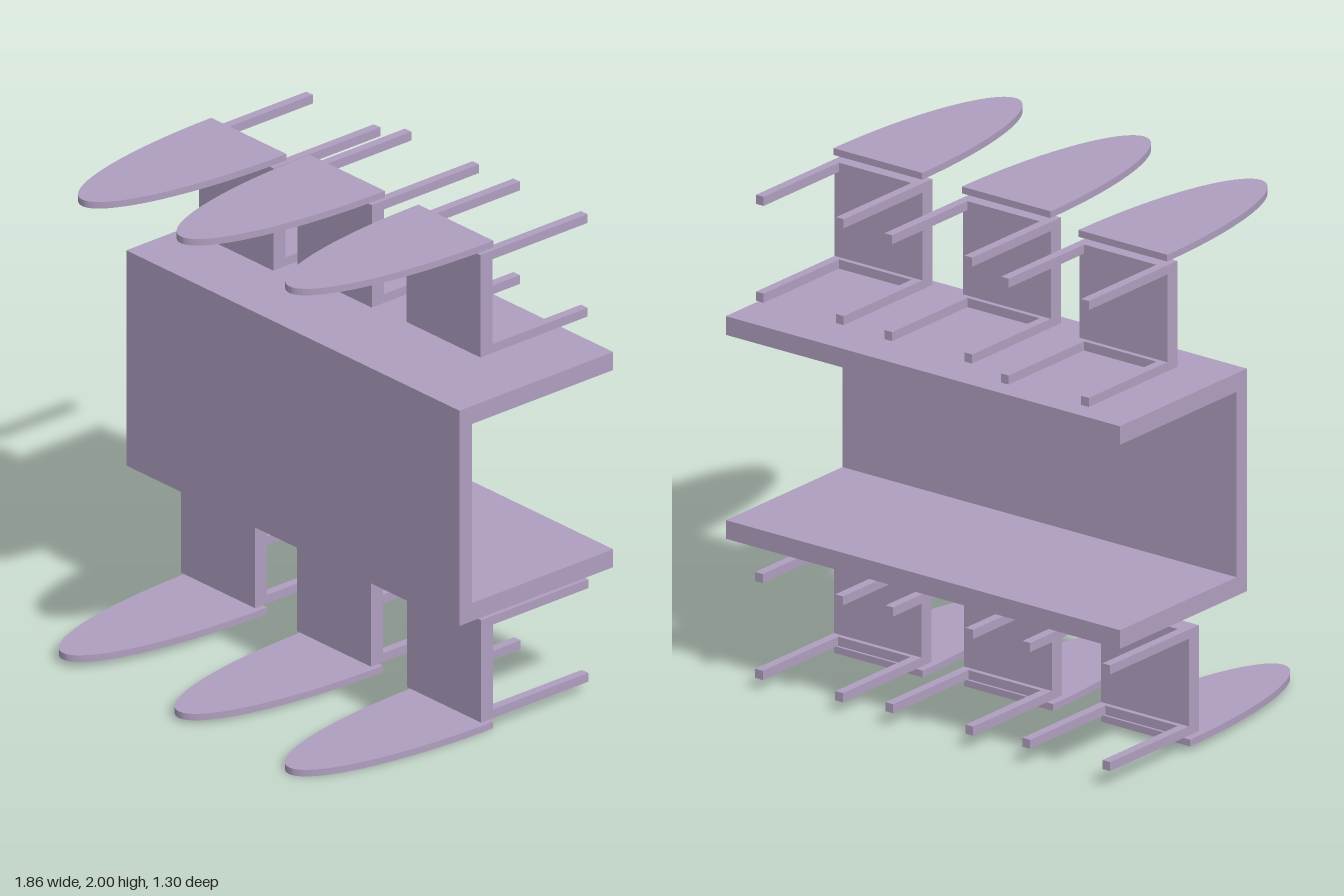
import * as THREE from 'three';
import { toCreasedNormals } from 'three/addons/utils/BufferGeometryUtils.js';

const material = new THREE.MeshStandardMaterial({ color: 0xb09fc0 });

// Box given by its lower and upper limits on each axis
function box(name, [x0, x1], [y0, y1], [z0, z1]) {
  const mesh = new THREE.Mesh(new THREE.BoxGeometry(x1 - x0, y1 - y0, z1 - z0), material);
  mesh.position.set((x0 + x1) / 2, (y0 + y1) / 2, (z0 + z1) / 2);
  mesh.name = name;
  return mesh;
}

const FLOOR = -0.648;      // feet of table and chairs; the furniture stands along z
const SEAT_BOTTOM = -0.176;
const HALF_W = 0.2065, HALF_D = 0.21, LEG = 0.036;

// Half-ellipse back panel, standing on its straight edge
function backrestGeometry() {
  const shape = new THREE.Shape();
  shape.absellipse(0, 0, 0.209, 0.827, 0, Math.PI, false);
  shape.closePath();
  const geometry = new THREE.ExtrudeGeometry(shape, { depth: 0.027, bevelEnabled: false, curveSegments: 48 });
  geometry.rotateX(Math.PI / 2);
  return toCreasedNormals(geometry, 0.6);
}

// Chair centred on its seat, backrest on the +y side
function makeChair(backGeometry) {
  const chair = new THREE.Group();
  chair.name = 'chair';
  chair.add(box('seat', [-HALF_W, HALF_W], [-HALF_D, HALF_D], [SEAT_BOTTOM, -0.116]));
  for (const sy of [-1, 1]) {
    const ys = [sy * HALF_D, sy * (HALF_D - LEG)].sort((a, b) => a - b);
    for (const sx of [-1, 1]) {
      const xs = [sx * HALF_W, sx * (HALF_W - LEG)].sort((a, b) => a - b);
      chair.add(box('chairLeg', xs, ys, [FLOOR, SEAT_BOTTOM]));
    }
    // Shallow rail under the seat, between the legs
    chair.add(box('seatRail', [LEG - HALF_W, HALF_W - LEG], ys, [-0.196, SEAT_BOTTOM]));
  }
  const backrest = new THREE.Mesh(backGeometry, material);
  backrest.name = 'backrest';
  backrest.position.set(0.003, 0.252, SEAT_BOTTOM);
  chair.add(backrest);
  return chair;
}

export function createModel() {
  const model = new THREE.Group();
  model.name = 'diningSet';

  // Table: a top on two full-width side panels
  const table = new THREE.Group();
  table.name = 'table';
  const width = [-0.93, 0.926];
  table.add(box('tableTop', width, [0.562, 1.445], [0.053, 0.115]));
  table.add(box('tableSidePanel', width, [0.562, 0.636], [FLOOR, 0.053]));
  table.add(box('tableSidePanel', width, [1.371, 1.445], [FLOOR, 0.053]));
  model.add(table);

  // Three chairs along each long side, backs facing away from the table
  const backGeometry = backrestGeometry();
  const places = [
    [-0.577, 1.697, 0], [-0.028, 1.74, 0], [0.577, 1.75, 0],
    [-0.678, 0.276, Math.PI], [-0.033, 0.265, Math.PI], [0.581, 0.253, Math.PI],
  ];
  for (const [x, y, turn] of places) {
    const chair = makeChair(backGeometry);
    chair.position.set(x, y, 0);
    chair.rotation.z = turn;
    model.add(chair);
  }
  return model;
}
